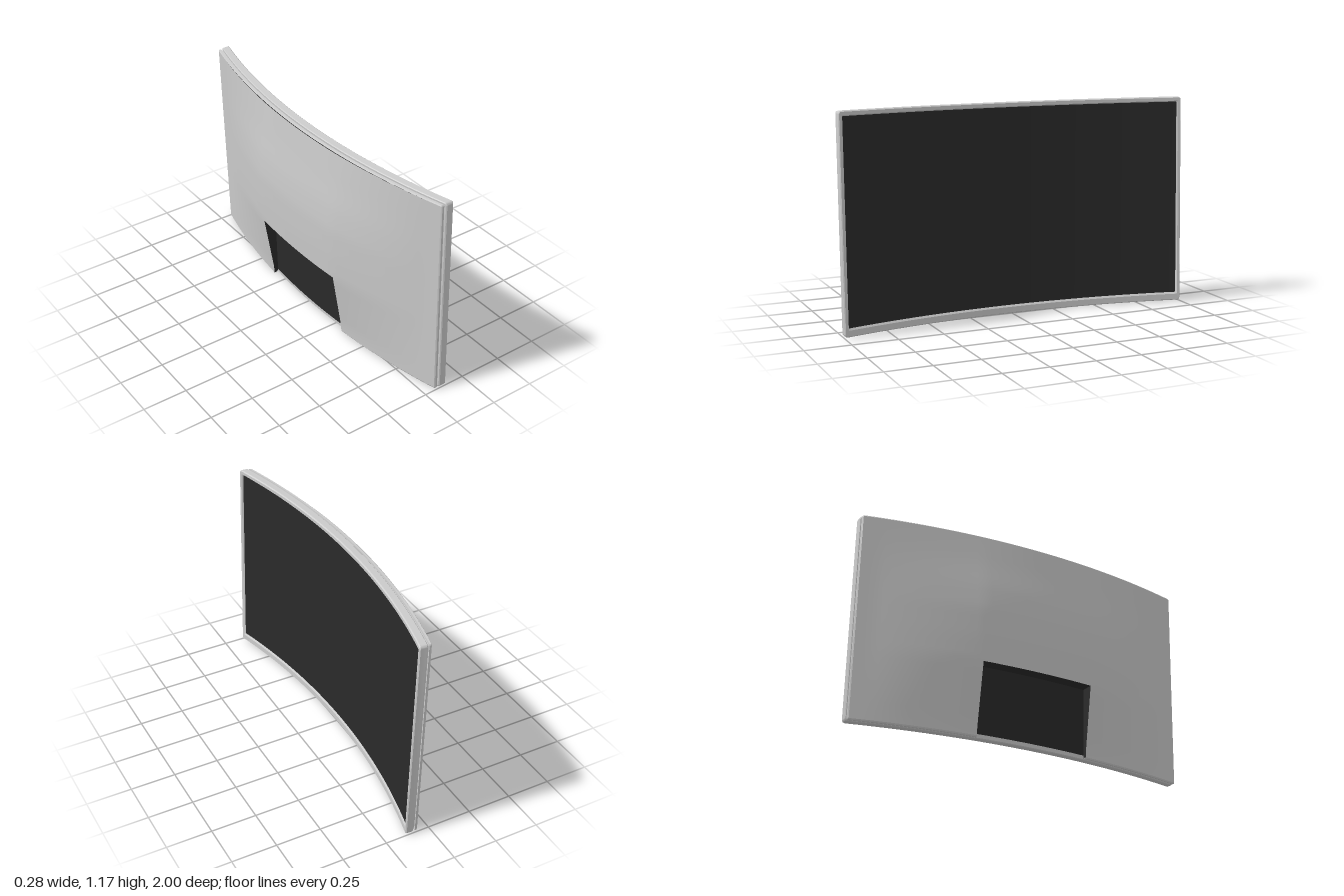
import * as THREE from 'three';
import { toCreasedNormals } from 'three/addons/utils/BufferGeometryUtils.js';

const GREY = 0xcccccc, DARK = 0x2a2a2a;
const SEG = 48;                       // divisions across the curved width
const NOTCH_Z = 0.33, NOTCH_Y = 0.41; // half width and top of the rear notch
const R = 3.9;                        // radius of the screen curve

// Point at (z, y), set back by depth from the curved front surface
const bend = (z, y, depth) => [0.006 + R - Math.sqrt(R * R - z * z) - depth, y, z];
const lerp = THREE.MathUtils.lerp;

// Surface of nu x nv quads from a rule; skip(i, j) leaves a quad out
function sheet(name, color, nu, nv, rule, skip = () => false) {
  const pos = [], idx = [];
  for (let j = 0; j <= nv; j++)
    for (let i = 0; i <= nu; i++) pos.push(...rule(i, j));
  for (let j = 0; j < nv; j++)
    for (let i = 0; i < nu; i++) {
      if (skip(i, j)) continue;
      const a = j * (nu + 1) + i, b = a + 1, d = a + nu + 1, c = d + 1;
      idx.push(a, b, c, a, c, d);
    }
  const geo = new THREE.BufferGeometry();
  geo.setAttribute('position', new THREE.Float32BufferAttribute(pos, 3));
  geo.setIndex(idx);
  const mesh = new THREE.Mesh(toCreasedNormals(geo, 0.5),
    new THREE.MeshStandardMaterial({ color, side: THREE.DoubleSide }));
  mesh.name = name;
  return mesh;
}

// Rounded rectangle outline in (z, y), starting along the bottom from +z to -z
function outline([side, bottom, top, , r]) {
  const w = 1 - side, lo = 0.006 + bottom, hi = 1.174 - top, pts = [];
  const corner = (z, y, start) => {
    for (let k = 0; k <= 4; k++) {
      const a = start - (k / 4) * Math.PI / 2;
      pts.push([z + r * Math.cos(a), y + r * Math.sin(a)]);
    }
  };
  for (let i = 0; i <= SEG; i++) pts.push([(w - r) * (1 - 2 * i / SEG), lo]);
  corner(-w + r, lo + r, -Math.PI / 2);
  corner(-w + r, hi - r, -Math.PI);
  for (let i = 0; i <= SEG; i++) pts.push([(w - r) * (2 * i / SEG - 1), hi]);
  corner(w - r, hi - r, Math.PI / 2);
  corner(w - r, lo + r, 0);
  pts.push(pts[0]);
  return pts;
}

// Ring lofted through outlines; layer = [side, bottom, top inset, depth, radius]
function ring(name, layers, skip) {
  const paths = layers.map(outline);
  return sheet(name, GREY, paths[0].length - 1, layers.length - 1,
    (i, j) => bend(...paths[j][i], layers[j][3]), skip);
}

// Swelling of the rear cover: a height profile that fades out to the sides
const SWELL = [[0, 0], [0.06, 0.003], [0.41, 0.052], [0.55, 0.056], [0.72, 0.056],
  [0.85, 0.045], [1.0, 0.024], [1.2, 0]];
function coverDepth(z, y) {
  const k = Math.max(1, SWELL.findIndex(p => p[0] >= y));
  const [y0, b0] = SWELL[k - 1], [y1, b1] = SWELL[k];
  const fade = THREE.MathUtils.clamp((0.9 - Math.abs(z)) / (0.9 - NOTCH_Z), 0, 1);
  return 0.07 + fade * lerp(b0, b1, (y - y0) / (y1 - y0));
}

export function createModel() {
  const monitor = new THREE.Group();
  monitor.name = 'curvedMonitor';
  const third = SEG / 3;
  const inNotch = i => i >= third && i < 2 * third;

  // Front bezel, back edge to screen opening
  monitor.add(ring('bezel', [
    [0.03, 0.03, 0.03, 0.045, 0.004], [0.004, 0.004, 0.004, 0.045, 0.014],
    [0, 0, 0, 0.041, 0.016], [0, 0, 0, 0.006, 0.016],
    [0.005, 0.005, 0.005, 0, 0.012], [0.018, 0.036, 0.022, 0, 0.006],
    [0.025, 0.048, 0.028, 0.008, 0.003]]));

  // Screen
  monitor.add(sheet('screen', DARK, SEG, 1,
    (i, j) => bend(0.978 * (1 - 2 * i / SEG), j ? 1.149 : 0.051, 0.007)));

  // Edge of the rear cover and the groove behind the bezel, open at the notch
  monitor.add(ring('rearCoverEdge', [
    [0.01, 0.008, 0.01, 0.07, 0.001], [0.005, 0.001, 0.004, 0.066, 0.01],
    [0.005, 0.001, 0.004, 0.055, 0.01], [0.014, 0.012, 0.014, 0.054, 0.006],
    [0.014, 0.012, 0.014, 0.044, 0.006]], inNotch));

  // Swollen rear cover, with the notch left out
  const low = 8, rows = 26, y0 = 0.014, y1 = 1.164;
  const rowY = j => j <= low ? lerp(y0, NOTCH_Y, j / low)
    : lerp(NOTCH_Y, y1, (j - low) / (rows - low));
  monitor.add(sheet('rearCover', GREY, SEG, rows, (i, j) => {
    const z = 0.99 * (2 * i / SEG - 1), y = rowY(j);
    return bend(z, y, coverDepth(z, y));
  }, (i, j) => inNotch(i) && j < low));

  // Dark notch: floor, roof and two side walls
  const notch = new THREE.Group();
  notch.name = 'rearNotch';
  const notchZ = i => NOTCH_Z * (2 * i / third - 1);
  notch.add(sheet('notchFloor', DARK, third, 1,
    (i, j) => bend(notchZ(i), j ? NOTCH_Y : 0.03, 0.046)));
  notch.add(sheet('notchRoof', DARK, third, 1,
    (i, j) => bend(notchZ(i), NOTCH_Y, j ? 0.046 : coverDepth(notchZ(i), NOTCH_Y))));
  for (const s of [-1, 1])
    notch.add(sheet(s > 0 ? 'notchWallLeft' : 'notchWallRight', DARK, low, 1, (i, j) => {
      const y = rowY(i), z = s * NOTCH_Z;
      return bend(z, y, j === (s > 0 ? 1 : 0) ? 0.046 : coverDepth(z, y));
    }));
  monitor.add(notch);

  // Lean the whole panel slightly back
  monitor.rotation.z = 0.03;
  const model = new THREE.Group();
  model.name = 'monitor';
  model.add(monitor);
  return model;
}
